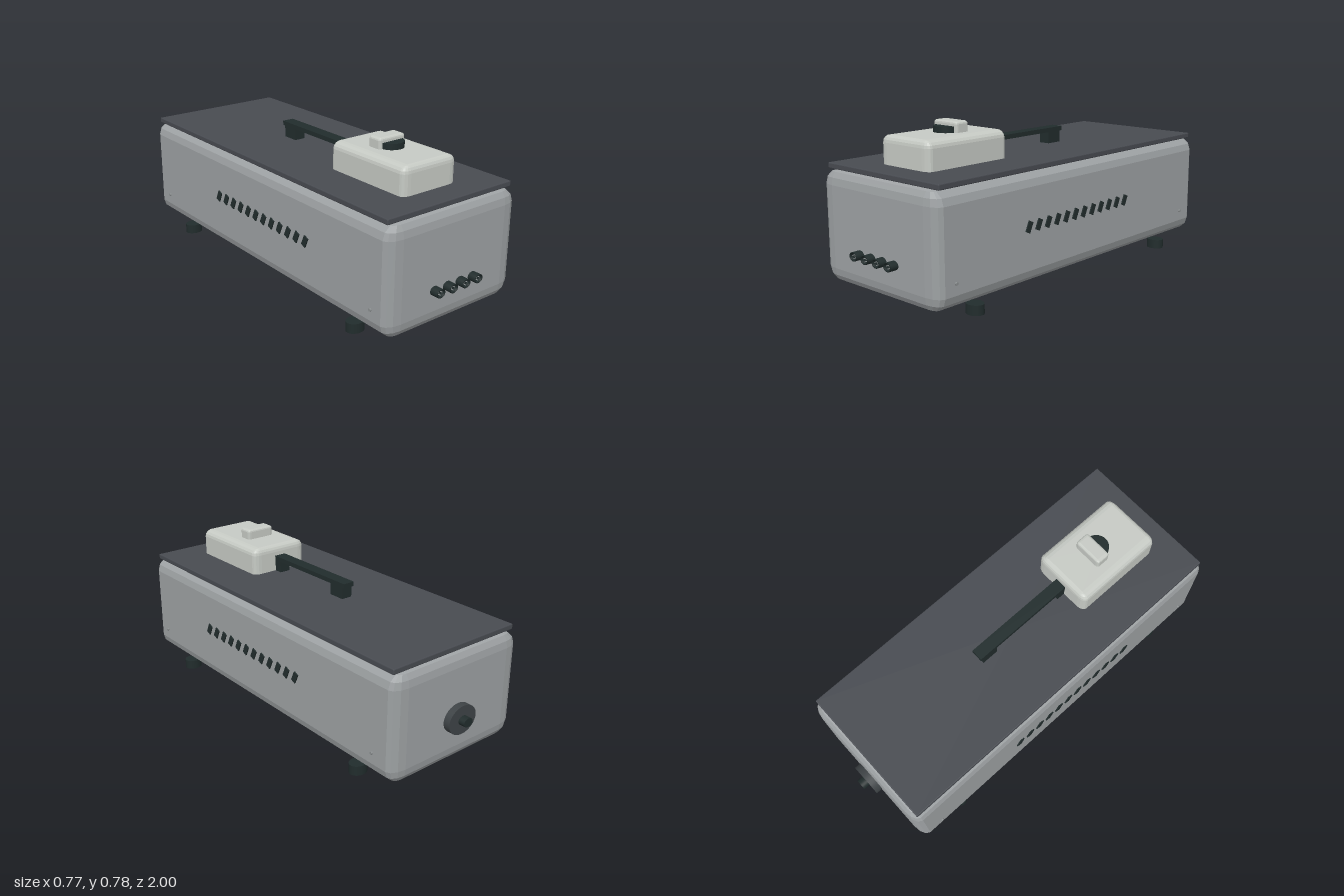
import * as THREE from 'three';

const mat = (name, color) => {
  const m = new THREE.MeshStandardMaterial({ color });
  m.name = name;
  return m;
};

// Faceted box spanning min..max with a separate corner radius on each axis
function bevelBox(min, max, r, steps) {
  const half = min.map((v, i) => (max[i] - v) / 2);
  const mid = min.map((v, i) => (max[i] + v) / 2);
  const rows = [], cols = [], pos = [], index = [];
  for (const s of [-1, 1])
    for (let i = 0; i <= steps; i++) rows.push([s, (s < 0 ? i - steps : i) / steps * Math.PI / 2]);
  for (let q = 0; q < 4; q++)
    for (let i = 0; i <= steps; i++) cols.push([q, (q + i / steps) * Math.PI / 2]);
  const n = cols.length;
  for (const [s, lat] of rows)
    for (const [q, lon] of cols) {
      const sx = q === 0 || q === 3 ? 1 : -1, sz = q < 2 ? 1 : -1;
      pos.push(
        mid[0] + sx * (half[0] - r[0]) + r[0] * Math.cos(lat) * Math.cos(lon),
        mid[1] + s * (half[1] - r[1]) + r[1] * Math.sin(lat),
        mid[2] + sz * (half[2] - r[2]) + r[2] * Math.cos(lat) * Math.sin(lon));
    }
  const bottom = pos.length / 3, top = bottom + 1, last = (rows.length - 1) * n;
  pos.push(mid[0], min[1], mid[2], mid[0], max[1], mid[2]);
  for (let j = 0; j < n; j++) {
    const k = (j + 1) % n;
    for (let i = 0; i < rows.length - 1; i++) {
      const a = i * n + j, b = i * n + k;
      index.push(a, a + n, b, b, a + n, b + n);
    }
    index.push(bottom, j, k, top, last + k, last + j);
  }
  const g = new THREE.BufferGeometry();
  g.setAttribute('position', new THREE.Float32BufferAttribute(pos, 3));
  g.setIndex(index);
  const flat = g.toNonIndexed();
  flat.computeVertexNormals();
  return flat;
}

export function createModel() {
  const model = new THREE.Group();
  model.name = 'equipmentBox';
  const shell = mat('shell grey', 0x9da1a3);
  const lidGrey = mat('lid grey', 0x484b51);
  const pale = mat('pale casing', 0xc6cac4);
  const black = mat('black rubber', 0x212c2c);
  const discGrey = mat('dark disc', 0x3e4346);
  const steel = mat('steel', 0x8b8f90);

  const add = (name, geometry, material, x = 0, y = 0, z = 0, parent = model) => {
    const m = new THREE.Mesh(geometry, material);
    m.name = name;
    m.position.set(x, y, z);
    parent.add(m);
    return m;
  };
  const box = (name, min, max, material) => add(name,
    new THREE.BoxGeometry(...min.map((v, i) => max[i] - v)), material,
    ...min.map((v, i) => (v + max[i]) / 2));
  // Cylinder lying along z, squashed to an ellipse
  const zDisc = (name, rx, ry, z0, z1, material, x, y, parent) => {
    const g = new THREE.CylinderGeometry(1, 1, z1 - z0, 32).rotateX(Math.PI / 2).scale(rx, ry, 1);
    return add(name, g, material, x, y, (z0 + z1) / 2, parent);
  };

  // Main case and lid
  add('body', bevelBox([-0.378, 0.063, -0.935], [0.378, 0.575, 0.96], [0.078, 0.066, 0.04], 3), shell);
  add('lid', bevelBox([-0.363, 0.574, -0.907], [0.363, 0.6, 0.93], [0.004, 0.004, 0.004], 2), lidGrey);

  // Control housing with its switch
  add('controlHousing', bevelBox([-0.157, 0.55, 0.318], [0.157, 0.732, 0.798], [0.042, 0.034, 0.026], 4), pale);
  add('switchCap', bevelBox([-0.076, 0.715, 0.482], [0.076, 0.782, 0.557], [0.016, 0.012, 0.012], 3), pale);
  add('switchDial', new THREE.CylinderGeometry(0.06, 0.06, 0.04, 32), black, 0, 0.74, 0.547);

  // Carrying handle
  box('handleBar', [-0.03, 0.657, -0.222], [0.03, 0.679, 0.325], black);
  box('handleRearLeg', [-0.028, 0.598, -0.208], [0.028, 0.66, -0.122], black);
  box('handleFrontLeg', [-0.028, 0.598, 0.275], [0.028, 0.66, 0.325], black);

  // Feet
  const foot = new THREE.CylinderGeometry(1, 1, 0.046, 32).scale(0.045, 1, 0.037);
  for (const x of [-0.324, 0.324])
    for (const z of [0.702, -0.668]) add('foot', foot, black, x, 0.023, z);

  // Slanted vents and small screws on both sides
  const vent = new THREE.BoxGeometry(0.02, 0.052, 0.028);
  const screw = new THREE.CylinderGeometry(0.007, 0.007, 0.02, 12).rotateZ(Math.PI / 2);
  for (const side of [1, -1]) {
    for (let i = 0; i < 12; i++)
      add('vent', vent, black, side * 0.374, 0.332, 0.418 - i * 0.0645).rotation.x = -side * 0.43;
    for (const z of [0.86, -0.812]) add('screw', screw, steel, side * 0.376, 0.182, z);
  }

  // Front sockets: hollow rim, recessed face and pins
  const rim = new THREE.LatheGeometry(
    [[1, -0.02], [1, 0.03], [0.8, 0.03], [0.8, 0.012]].reverse().map(p => new THREE.Vector2(...p)), 32)
    .rotateX(Math.PI / 2).scale(0.025, 0.0205, 1);
  const blackOpen = mat('black socket rim', 0x212c2c);
  blackOpen.side = THREE.DoubleSide;
  for (let i = 0; i < 4; i++) {
    const socket = new THREE.Group();
    socket.name = 'socket';
    socket.position.set(-0.114 + i * 0.076, 0.227, 0.97);
    model.add(socket);
    add('socketRim', rim, blackOpen, 0, 0, 0, socket);
    zDisc('socketFace', 0.021, 0.017, -0.02, 0.014, black, 0, 0, socket);
    for (let k = 0; k < 3; k++) {
      const a = Math.PI / 2 + k * Math.PI * 2 / 3;
      zDisc('socketPin', 0.002, 0.002, 0.01, 0.026, steel, 0.01 * Math.cos(a), -0.008 * Math.sin(a), socket);
    }
  }

  // Rear dial
  zDisc('rearDisc', 0.083, 0.068, -0.968, -0.93, discGrey, 0, 0.272);
  zDisc('rearKnob', 0.027, 0.021, -1, -0.96, black, 0, 0.272);
  return model;
}
